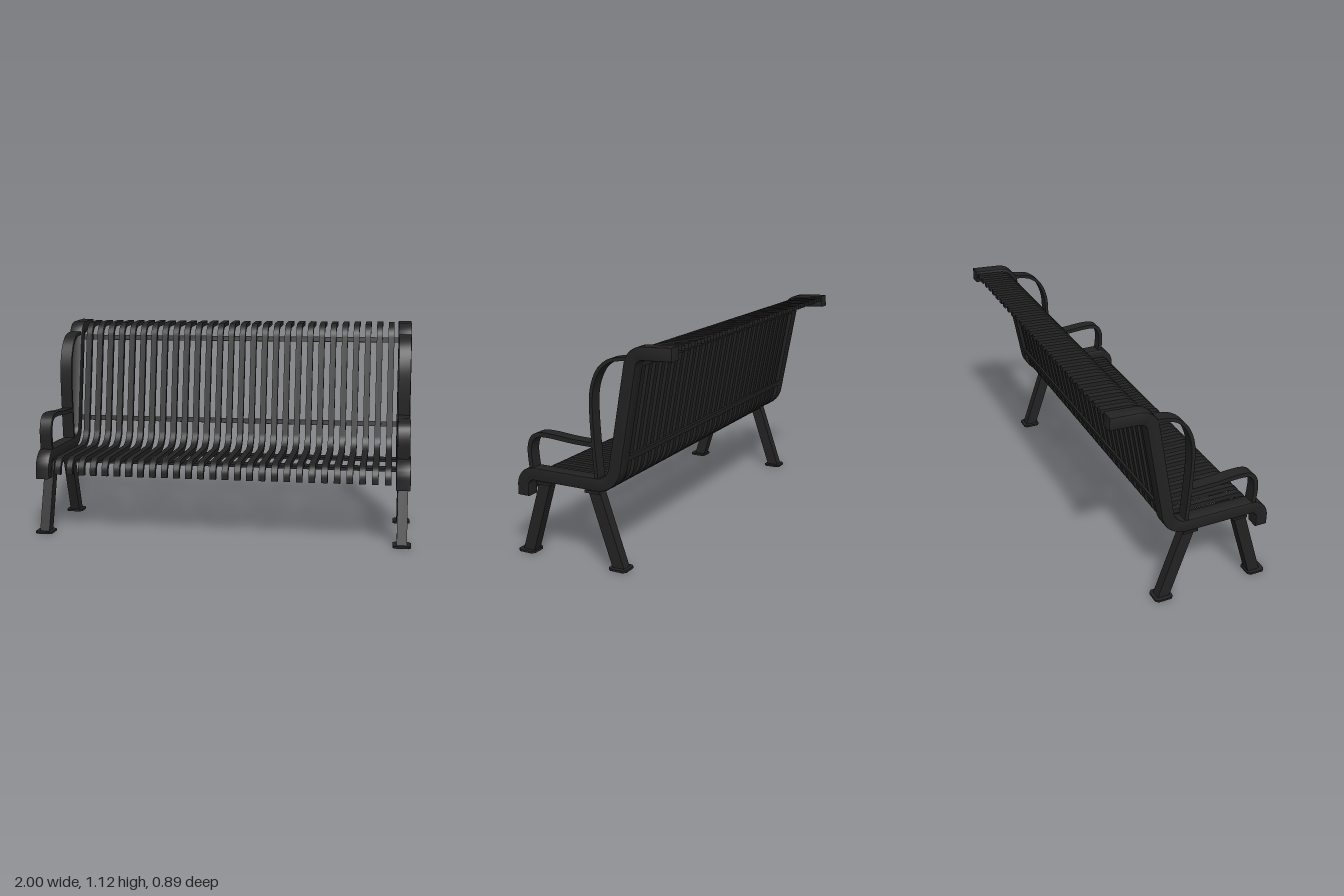
import * as THREE from 'three';
import { toCreasedNormals } from 'three/addons/utils/BufferGeometryUtils.js';

const black = new THREE.MeshStandardMaterial({ color: 0x222222 });
black.name = 'black paint';

const SIDE_X = 0.953; // centre of each end frame
const LEAN = 0.1766; // backward z per unit of height on the backrest
const backZ = (y) => -0.132 - LEAN * (y - 0.506);

// Polyline of [z, y, cut] with every inner corner rounded over the length "cut"
function roundedPath(pts) {
  const path = new THREE.Path();
  const v = pts.map(([z, y]) => new THREE.Vector2(z, y));
  path.moveTo(v[0].x, v[0].y);
  for (let i = 1; i < v.length - 1; i++) {
    const cut = pts[i][2];
    const toward = (end, d) => end.clone().sub(v[i]).setLength(d).add(v[i]);
    const a = toward(v[i - 1], cut), b = toward(v[i + 1], cut);
    const c = toward(v[i - 1], cut * 0.45), d = toward(v[i + 1], cut * 0.45);
    path.lineTo(a.x, a.y);
    path.bezierCurveTo(c.x, c.y, d.x, d.y, b.x, b.y);
  }
  const end = v[v.length - 1];
  path.lineTo(end.x, end.y);
  return path.getPoints(12);
}

// Smooth path through [z, y] points
function smoothPath(pts) {
  return new THREE.SplineCurve(pts.map(([z, y]) => new THREE.Vector2(z, y))).getPoints(36);
}

// Bar of rectangular section that follows a path in the side plane
function bentBar(points, thickness, width, bevel = 0) {
  const left = [], right = [];
  const half = thickness / 2 - bevel;
  points.forEach((p, i) => {
    const a = points[Math.max(i - 1, 0)];
    const b = points[Math.min(i + 1, points.length - 1)];
    const t = b.clone().sub(a).normalize();
    left.push(new THREE.Vector2(p.x - t.y * half, p.y + t.x * half));
    right.unshift(new THREE.Vector2(p.x + t.y * half, p.y - t.x * half));
  });
  const depth = width - 2 * bevel;
  const g = new THREE.ExtrudeGeometry(new THREE.Shape([...left, ...right]), {
    depth, bevelEnabled: bevel > 0, bevelSize: bevel, bevelThickness: bevel, bevelSegments: 2,
  });
  g.translate(0, 0, -depth / 2);
  g.rotateY(-Math.PI / 2);
  return toCreasedNormals(g, 0.6);
}

// Leg cut level at both ends, leaning along z
function leaningLeg(zBottom, zTop, y0, y1) {
  const g = new THREE.BoxGeometry(0.052, y1 - y0, 0.065);
  g.translate(0, (y0 + y1) / 2, 0);
  const pos = g.attributes.position;
  for (let i = 0; i < pos.count; i++) {
    const k = (pos.getY(i) - y0) / (y1 - y0);
    pos.setZ(i, pos.getZ(i) + zBottom + (zTop - zBottom) * k);
  }
  g.computeVertexNormals();
  return g;
}

// Foot plate with clipped corners
function footPlate() {
  const w = 0.047, d = 0.049, c = 0.014;
  const shape = new THREE.Shape([
    [w, c - d], [w, d - c], [w - c, d], [c - w, d], [-w, d - c], [-w, c - d], [c - w, -d], [w - c, -d],
  ].map(([x, y]) => new THREE.Vector2(x, y)));
  const g = new THREE.ExtrudeGeometry(shape, { depth: 0.011, bevelEnabled: false });
  g.rotateX(-Math.PI / 2);
  return g;
}

export function createModel() {
  const bench = new THREE.Group();
  bench.name = 'bench';
  const add = (parent, name, geometry, x = 0, y = 0, z = 0) => {
    const m = new THREE.Mesh(geometry, black);
    m.name = name;
    m.position.set(x, y, z);
    parent.add(m);
    return m;
  };

  // End frames, arms and legs
  const frame = bentBar(roundedPath([
    [0.402, 0.305], [0.402, 0.42, 0.066], [-0.117, 0.42, 0.087], [-0.233, 1.077, 0.054], [-0.437, 1.087],
  ]), 0.065, 0.074, 0.006);
  const armrest = bentBar(smoothPath([
    [0.348, 0.44], [0.357, 0.53], [0.349, 0.583], [0.328, 0.613], [0.292, 0.626],
    [0.227, 0.627], [0.108, 0.618], [-0.012, 0.615],
  ]), 0.023, 0.064);
  const backLoop = bentBar(smoothPath([
    [-0.03, 0.44], [-0.016, 0.61], [-0.007, 0.78], [-0.014, 0.89], [-0.05, 0.979],
    [-0.105, 1.027], [-0.165, 1.043], [-0.215, 1.047],
  ]), 0.018, 0.064);
  const legs = [
    ['front', 0.388, 0.277, 0.395],
    ['back', -0.14, -0.012, -0.14],
  ];
  for (const [label, s] of [['left', 1], ['right', -1]]) {
    const end = new THREE.Group();
    end.name = label + 'End';
    end.position.x = s * SIDE_X;
    bench.add(end);
    add(end, 'endFrame', frame);
    add(end, 'armrest', armrest);
    add(end, 'backLoop', backLoop);
    for (const [which, zBottom, zTop, zFoot] of legs) {
      add(end, which + 'Leg', leaningLeg(zBottom, zTop, 0.008, 0.378));
      add(end, which + 'Foot', footPlate(), 0, 0, zFoot);
    }
  }

  // Flat rails under the seat
  for (const z of [0.272, -0.005]) {
    add(bench, 'seatRail', new THREE.BoxGeometry(1.98, 0.014, 0.081), 0, 0.38, z);
  }

  // Flat rails behind the backrest
  for (const y of [0.553, 1.02]) {
    const rail = add(bench, 'backRail', new THREE.BoxGeometry(1.86, 0.028, 0.012), 0, y, backZ(y) - 0.026);
    rail.rotation.x = -Math.atan(LEAN);
  }

  // Bent slats forming seat and backrest
  const slat = bentBar(roundedPath([
    [0.393, 0.32], [0.393, 0.399, 0.055], [backZ(0.399) - 0.006, 0.399, 0.09],
    [backZ(1.092) - 0.006, 1.092, 0.06], [-0.442, 1.102],
  ]), 0.024, 0.033);
  const count = 28;
  for (let i = 0; i < count; i++) {
    add(bench, 'slat', slat, -0.877 + (1.754 * i) / (count - 1));
  }
  return bench;
}
